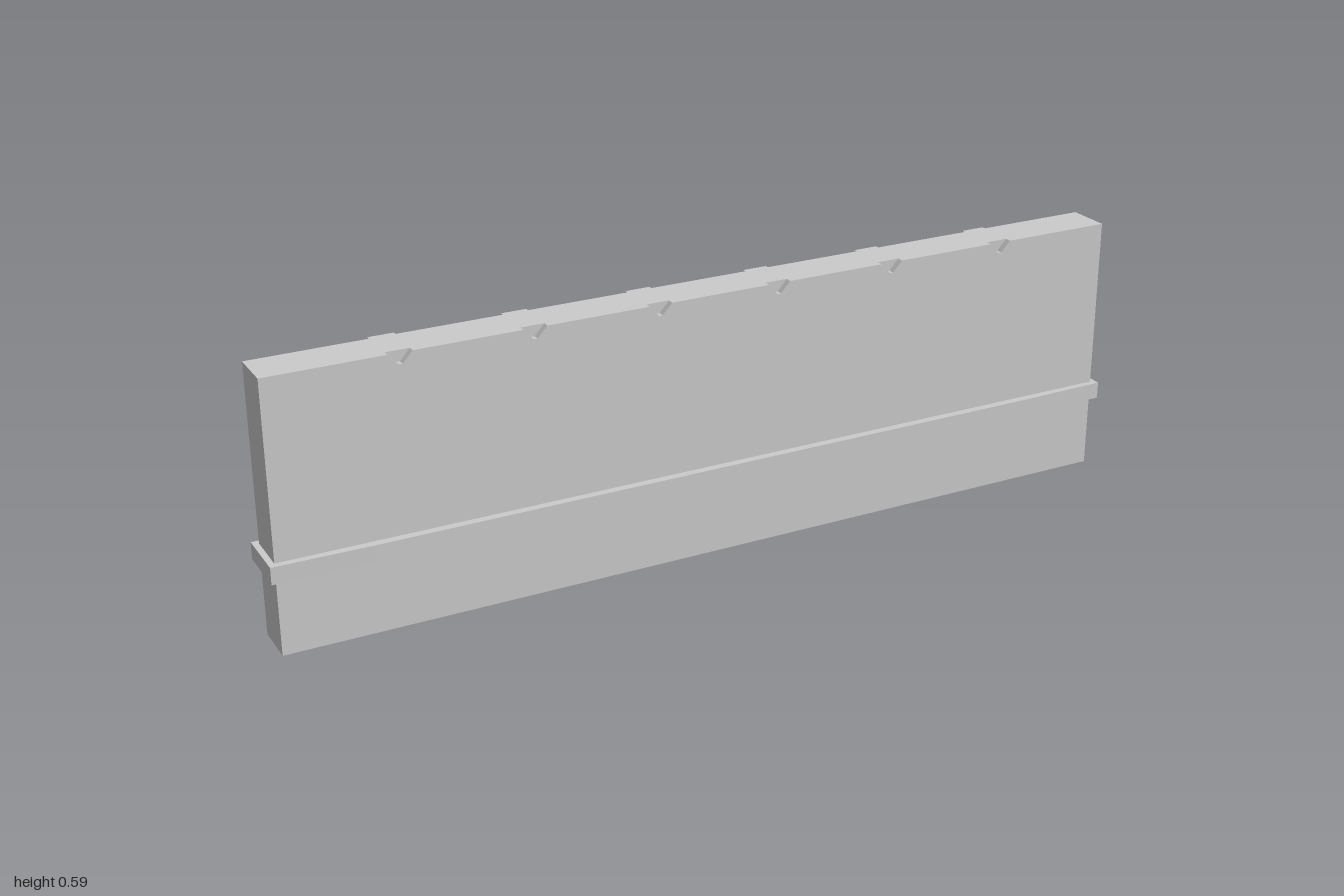
import * as THREE from 'three';

const material = new THREE.MeshStandardMaterial({ color: 0xcccccc, flatShading: true });
const RIB_X = [-0.705, -0.42, -0.14, 0.14, 0.42, 0.705];
const TOP = 0.593, HALF = 0.987, BACK = -0.045, FRONT = 0.054;

function add(parent, name, geometry) {
  const mesh = new THREE.Mesh(geometry, material);
  mesh.name = name;
  parent.add(mesh);
  return mesh;
}

// Prism from an outline in x/y, spanning z0 to z1
function prism(points, z0, z1) {
  const shape = new THREE.Shape(points.map(([x, y]) => new THREE.Vector2(x, y)));
  return new THREE.ExtrudeGeometry(shape, { depth: z1 - z0, bevelEnabled: false }).translate(0, 0, z0);
}

function box(x0, x1, y0, y1, z0, z1) {
  return new THREE.BoxGeometry(x1 - x0, y1 - y0, z1 - z0)
    .translate((x0 + x1) / 2, (y0 + y1) / 2, (z0 + z1) / 2);
}

export function createModel() {
  const model = new THREE.Group();
  model.name = 'wallPanel';

  // Wall core, with a front skin that has V notches along its top edge
  const notchDepth = 0.015;
  add(model, 'wallCore', box(-HALF, HALF, 0, TOP, BACK, FRONT - notchDepth));
  const outline = [[-HALF, 0], [HALF, 0], [HALF, TOP]];
  for (const x of [...RIB_X].reverse()) {
    outline.push([x + 0.026, TOP], [x + 0.004, 0.569], [x - 0.004, 0.569], [x - 0.026, TOP]);
  }
  outline.push([-HALF, TOP]);
  add(model, 'notchedFrontSkin', prism(outline, FRONT - notchDepth, FRONT));

  // Belt around the wall, narrowing slightly towards its ends
  const belt = prism([
    [-1, -0.058], [-0.72, -0.064], [0.72, -0.064], [1, -0.058],
    [1, 0.068], [0.79, 0.072], [-0.79, 0.072], [-1, 0.068],
  ], 0, 0.038);
  add(model, 'belt', belt.rotateX(Math.PI / 2).translate(0, 0.205, 0));

  // Back supports: wide below the belt, slim with a flared head above it
  for (const x of RIB_X) {
    const support = new THREE.Group();
    support.name = 'backSupport';
    support.position.x = x;
    add(support, 'lowerPilaster', box(-0.028, 0.028, 0, 0.17, -0.072, BACK));
    add(support, 'upperRib', box(-0.01, 0.01, 0.2, 0.58, -0.052, BACK));
    add(support, 'ribHead', prism(
      [[-0.01, 0.57], [0.01, 0.57], [0.028, 0.585], [0.028, TOP], [-0.028, TOP], [-0.028, 0.585]],
      -0.054, BACK));
    model.add(support);
  }
  return model;
}
